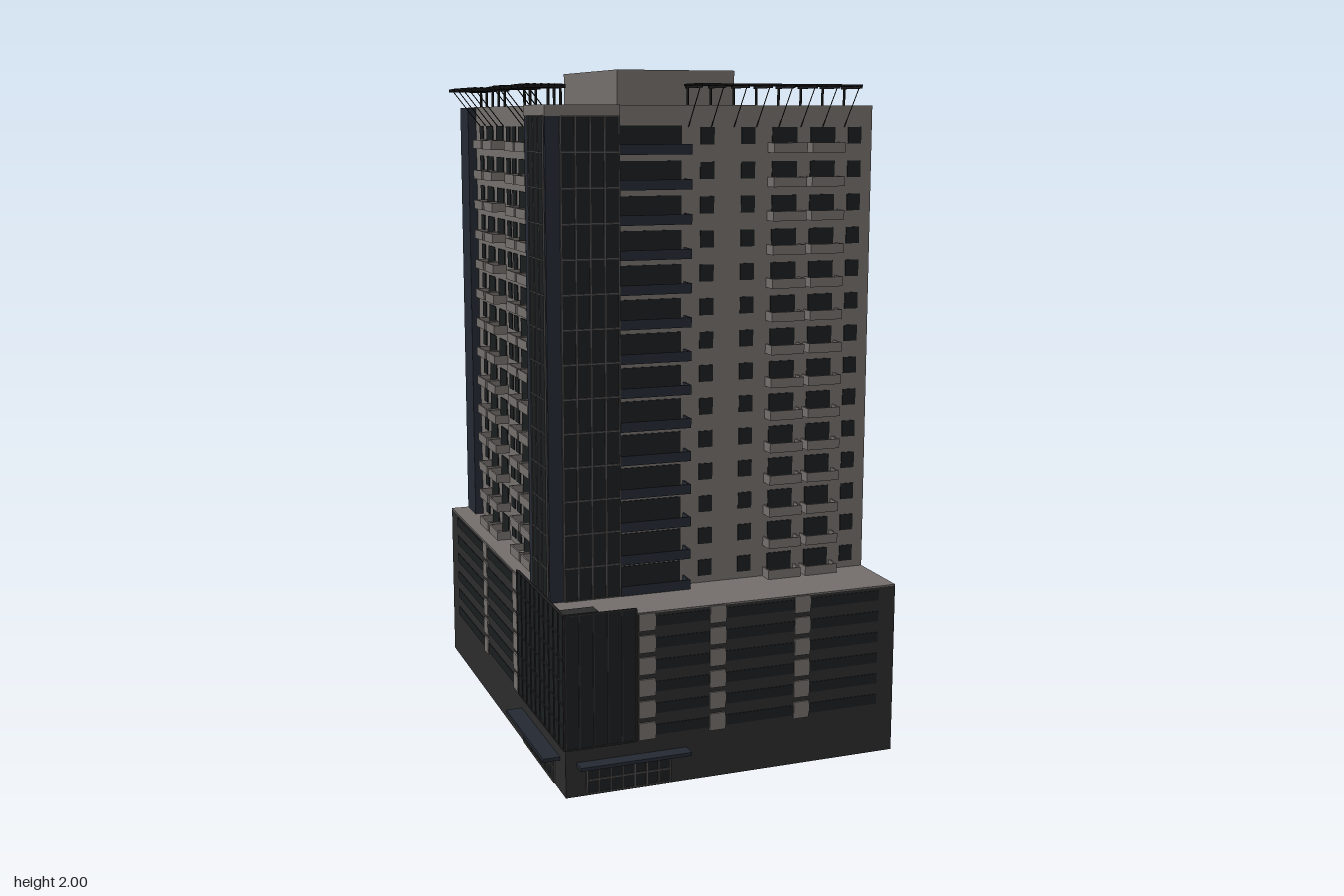
import * as THREE from 'three';

const paint = (color) => new THREE.MeshStandardMaterial({ color });
const WALL = paint(0x736e6b), BASE = paint(0x2b2b2c), GLASS = paint(0x1a1d1f);
const BLUE = paint(0x242932), METAL = paint(0x161616), TRIM = paint(0x4c4a49);

const ROOF = 1.89, BASE_TOP = 0.51, FLOORS = 14, PITCH = 0.0962, FIRST = 0.555;

// Box given by its limits: x along a facade, y up, z outwards.
function box(parent, name, mat, x0, x1, y0, y1, z0, z1) {
  const mesh = new THREE.Mesh(new THREE.BoxGeometry(x1 - x0, y1 - y0, z1 - z0), mat);
  mesh.position.set((x0 + x1) / 2, (y0 + y1) / 2, (z0 + z1) / 2);
  mesh.name = name;
  parent.add(mesh);
  return mesh;
}

// Thin straight bar between two points.
function bar(parent, name, a, b, r = 0.003) {
  const p = new THREE.Vector3(...a), q = new THREE.Vector3(...b);
  const mesh = new THREE.Mesh(new THREE.CylinderGeometry(r, r, p.distanceTo(q), 4), METAL);
  mesh.position.copy(p).add(q).multiplyScalar(0.5);
  mesh.quaternion.setFromUnitVectors(new THREE.Vector3(0, 1, 0), q.sub(p).normalize());
  mesh.name = name;
  parent.add(mesh);
}

// Pane divided by upright and level mullions.
function glazing(parent, name, x0, x1, y0, y1, z, cols, rows, trim) {
  const g = new THREE.Group();
  g.name = name;
  parent.add(g);
  box(g, 'pane', GLASS, x0, x1, y0, y1, z - 0.004, z + 0.002);
  for (let i = 0; i <= cols; i++) {
    const x = x0 + ((x1 - x0) * i) / cols;
    box(g, 'mullion', trim, x - 0.002, x + 0.002, y0, y1, z, z + 0.005);
  }
  for (let i = 0; i <= rows; i++) {
    const y = y0 + ((y1 - y0) * i) / rows;
    box(g, 'transom', trim, x0, x1, y - 0.002, y + 0.002, z, z + 0.005);
  }
}

// Balcony tray: floor, front parapet and two side parapets.
function balcony(parent, x0, x1, y, z, depth, mat) {
  const g = new THREE.Group(), t = 0.005, h = 0.028;
  g.name = 'balcony';
  parent.add(g);
  box(g, 'balconyFloor', mat, x0, x1, y, y + t, z, z + depth);
  box(g, 'balconyFront', mat, x0, x1, y, y + h, z + depth - t, z + depth);
  box(g, 'balconySide', mat, x0, x0 + t, y, y + h, z, z + depth);
  box(g, 'balconySide', mat, x1 - t, x1, y, y + h, z, z + depth);
}

// Stacked windows and balconies of one tower facade.
function towerFacade(parent, z, windows, balconies) {
  for (let f = 0; f < FLOORS; f++) {
    const y = FIRST + f * PITCH;
    for (const x of windows)
      box(parent, 'window', GLASS, x - 0.021, x + 0.021, y - 0.024, y + 0.024, z - 0.003, z + 0.003);
    for (const x of balconies) {
      box(parent, 'balconyDoor', GLASS, x - 0.039, x + 0.039, y - 0.045, y + 0.024, z - 0.003, z + 0.003);
      balcony(parent, x - 0.052, x + 0.052, Math.max(y - 0.048, BASE_TOP), z, 0.044, WALL);
    }
  }
}

// Rows of strip windows on the base, broken by light piers.
function baseFacade(parent, z, x0, x1, piers) {
  for (let i = 0; i < 6; i++) {
    const y = 0.165 + i * 0.0635;
    box(parent, 'stripWindow', GLASS, x0, x1, y - 0.015, y + 0.015, z - 0.003, z + 0.002);
    for (const x of piers)
      box(parent, 'pierPanel', WALL, x - 0.024, x + 0.024, y - 0.025, y + 0.025, z - 0.003, z + 0.005);
  }
}

// Roof-edge pergola on posts, with braces down to the wall.
function pergola(parent, x0, x1, n, z) {
  const g = new THREE.Group(), y = 1.942;
  g.name = 'pergola';
  parent.add(g);
  for (let i = 0; i < n; i++) {
    const x = x0 + ((x1 - x0) * i) / (n - 1);
    box(g, 'crossBeam', METAL, x - 0.003, x + 0.003, y - 0.006, y + 0.004, z - 0.02, z + 0.1);
    bar(g, 'post', [x, ROOF, z - 0.006], [x, y, z - 0.006], 0.004);
    bar(g, 'brace', [x, 1.83, z], [x, y - 0.005, z + 0.085], 0.0015);
  }
  for (let i = 0; i < 6; i++) {
    const zz = z - 0.008 + i * 0.019;
    box(g, 'longBeam', METAL, x0 - 0.01, x1 + 0.01, y, y + 0.006, zz - 0.002, zz + 0.002);
  }
}

// Canopy slab over a glazed entrance.
function entrance(parent, x0, x1, z, depth) {
  box(parent, 'canopy', BLUE, x0, x1, 0.09, 0.1, z, z + depth);
  glazing(parent, 'entranceGlazing', x0 + 0.03, x1 - 0.05, 0.005, 0.085, z, 7, 2, TRIM);
}

export function createModel() {
  const model = new THREE.Group();
  model.name = 'apartmentTower';

  // The building stands slightly turned on its plot.
  const building = new THREE.Group();
  building.name = 'building';
  building.position.x = 0.02;
  building.rotation.y = -0.067;
  model.add(building);

  // Main volumes
  box(building, 'base', BASE, -0.506, 0.506, 0, BASE_TOP - 0.004, -0.669, 0.669);
  box(building, 'baseRoof', WALL, -0.506, 0.506, BASE_TOP - 0.004, BASE_TOP, -0.669, 0.669);
  box(building, 'tower', WALL, -0.421, 0.506, BASE_TOP, ROOF, -0.669, 0.457);
  box(building, 'roofHouse', WALL, -0.113, 0.274, ROOF, 2, -0.572, -0.02);

  // Glazed corner bay
  box(building, 'cornerBay', BLUE, -0.497, -0.287, BASE_TOP, ROOF - 0.004, 0.3, 0.502);
  box(building, 'cornerBayRoof', WALL, -0.499, -0.285, ROOF - 0.03, ROOF, 0.298, 0.505);

  const front = new THREE.Group();
  front.name = 'frontFacade';
  building.add(front);

  // Same layout rules on the side: x runs towards the front, z outwards.
  const side = new THREE.Group();
  side.name = 'sideFacade';
  side.rotation.y = -Math.PI / 2;
  building.add(side);

  glazing(front, 'cornerGlazing', -0.455, -0.288, BASE_TOP, ROOF - 0.03, 0.503, 4, FLOORS, TRIM);
  glazing(side, 'cornerGlazing', 0.35, 0.49, BASE_TOP, ROOF - 0.03, 0.498, 3, FLOORS, TRIM);

  // Tower facades
  towerFacade(front, 0.457, [-0.01, 0.115, 0.45], [0.228, 0.348]);
  towerFacade(side, 0.421, [-0.48, -0.15, -0.085, 0.22], [-0.375, -0.25, 0.01, 0.13]);

  // Wide balconies beside the corner bay
  for (let f = 0; f < FLOORS; f++) {
    const y = FIRST + f * PITCH;
    box(front, 'wideWindow', GLASS, -0.275, -0.088, y - 0.045, y + 0.028, 0.454, 0.46);
    balcony(front, -0.287, -0.075, Math.max(y - 0.05, BASE_TOP), 0.457, 0.052, BLUE);
  }

  // Dark vertical panel at the rear corner
  box(side, 'rearPanel', BLUE, -0.667, -0.56, BASE_TOP, ROOF - 0.002, 0.42, 0.448);

  // Base facades
  baseFacade(front, 0.669, -0.29, 0.452, [-0.267, -0.055, 0.207]);
  baseFacade(side, 0.506, -0.58, 0.19, [-0.19, 0.17]);
  glazing(front, 'baseCornerGlazing', -0.506, -0.3, 0.14, 0.525, 0.67, 5, 1, BASE);
  glazing(side, 'baseCornerGlazing', 0.2, 0.669, 0.14, 0.525, 0.507, 10, 6, BASE);
  box(building, 'cornerParapet', BASE, -0.508, -0.408, BASE_TOP, 0.528, 0.622, 0.669);

  // Entrances
  entrance(front, -0.475, -0.148, 0.669, 0.042);
  entrance(side, 0.22, 0.614, 0.506, 0.049);

  // Roof pergolas
  pergola(front, -0.067, 0.417, 8, 0.457);
  pergola(side, -0.51, -0.21, 5, 0.421);
  pergola(side, 0.015, 0.135, 3, 0.421);
  pergola(side, 0.26, 0.38, 3, 0.421);

  return model;
}
